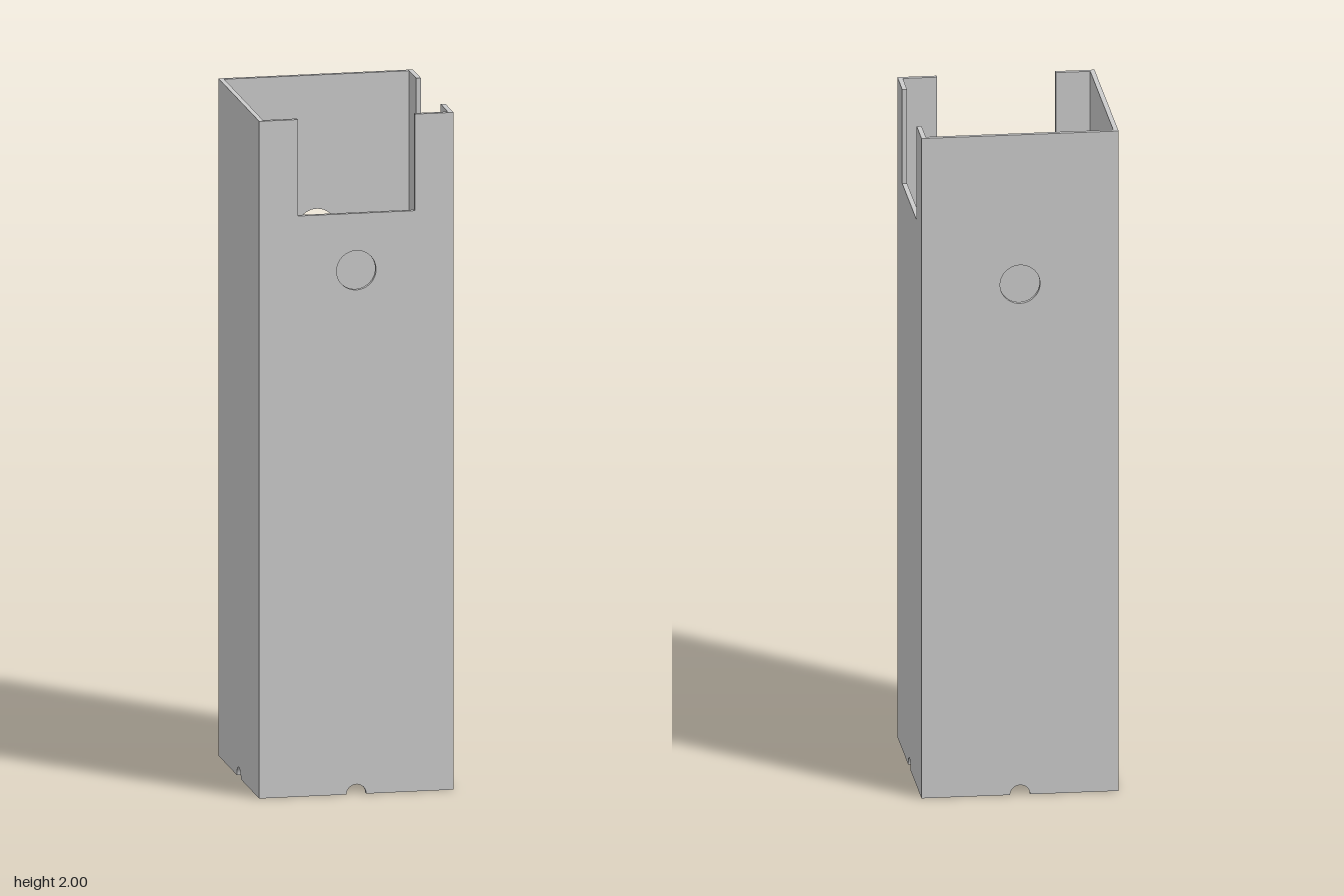
import * as THREE from 'three';

const HALF = 0.286;      // half the outer width of the square tube
const THICK = 0.014;     // wall thickness
const HEIGHT = 2;
const CUT_HALF = 0.172;  // half width of the top cut-out
const CUT_Y = 1.715;     // lower edge of the top cut-out
const DRAIN_R = 0.029;   // half-round notch at the foot
const HOLE_R = 0.058;
const HOLE_Y = 1.547;

// Flat wall with a half-round foot notch, optional top cut-out and round hole;
// its outer face ends up on z = HALF
function wallGeometry(half, cutOut, hole) {
  const s = new THREE.Shape();
  s.moveTo(-half, 0);
  s.lineTo(-DRAIN_R, 0);
  s.absarc(0, 0, DRAIN_R, Math.PI, 0, true);
  s.lineTo(half, 0);
  s.lineTo(half, HEIGHT);
  if (cutOut) {
    s.lineTo(CUT_HALF, HEIGHT);
    s.lineTo(CUT_HALF, CUT_Y);
    s.lineTo(-CUT_HALF, CUT_Y);
    s.lineTo(-CUT_HALF, HEIGHT);
  }
  s.lineTo(-half, HEIGHT);
  s.closePath();
  if (hole) s.holes.push(new THREE.Path().absarc(0, HOLE_Y, HOLE_R, 0, Math.PI * 2, true));
  const g = new THREE.ExtrudeGeometry(s, { depth: THICK, bevelEnabled: false, curveSegments: 32 });
  return g.translate(0, 0, HALF - THICK);
}

export function createModel() {
  const group = new THREE.Group();
  group.name = 'squareTube';
  const material = new THREE.MeshStandardMaterial({ color: 0xcccccc });
  const inner = HALF - THICK;

  // Front and back span the full width; the sides fit between them
  const walls = [
    { name: 'frontWall', turn: 0, half: HALF, cutOut: true, hole: true },
    { name: 'leftWall', turn: Math.PI / 2, half: inner, cutOut: true, hole: false },
    { name: 'backWall', turn: Math.PI, half: HALF, cutOut: false, hole: true },
    { name: 'rightWall', turn: -Math.PI / 2, half: inner, cutOut: false, hole: false },
  ];
  for (const w of walls) {
    const mesh = new THREE.Mesh(wallGeometry(w.half, w.cutOut, w.hole), material);
    mesh.name = w.name;
    mesh.rotation.y = w.turn;
    group.add(mesh);
  }
  return group;
}
